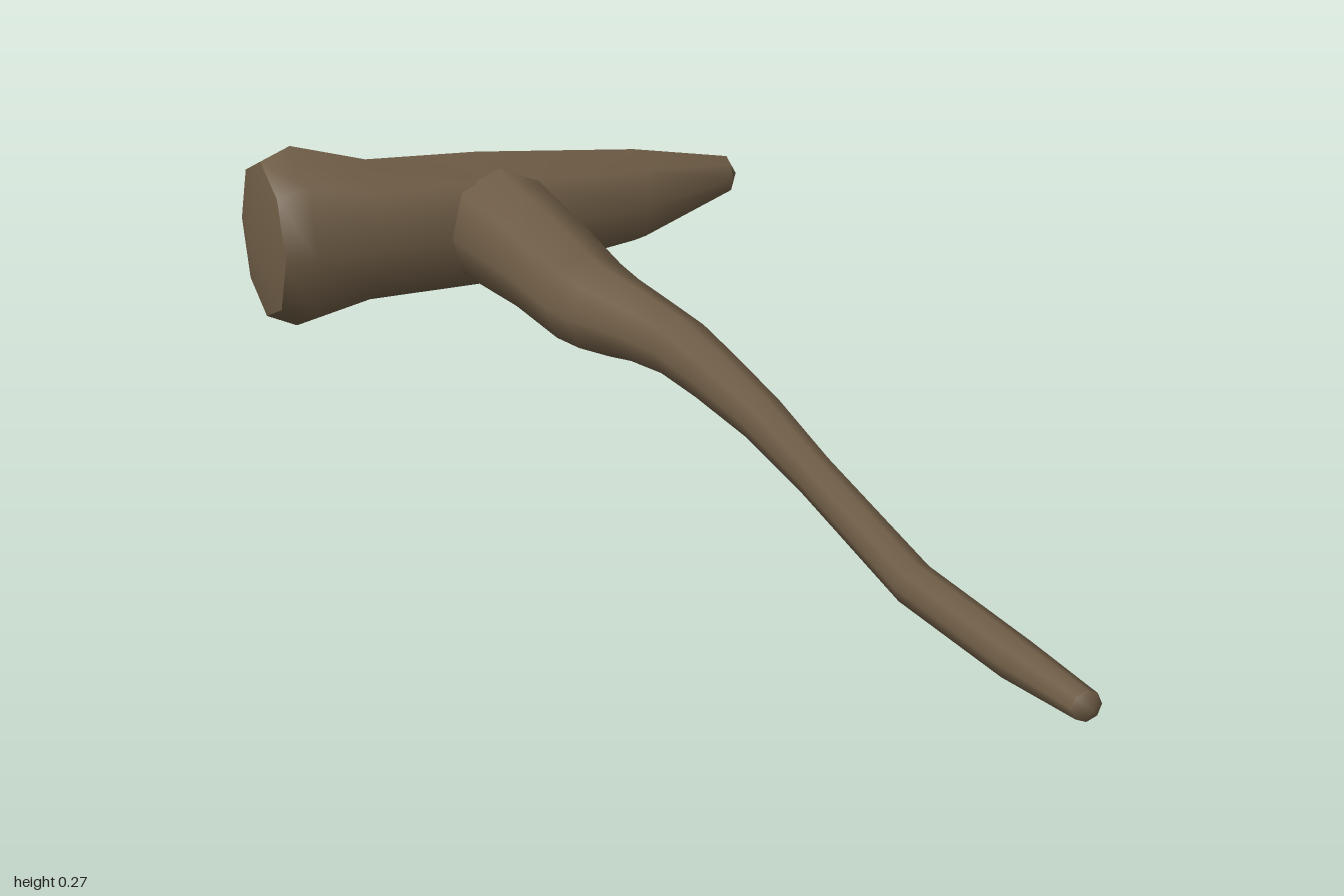
import * as THREE from 'three';

const SIDES = 8;

// Lofts eight-sided rings; sections are [along, across, halfHeight, halfAcross],
// the first and last are the centre points of the end caps.
function loft(sections, height, place) {
  const pos = [], index = [];
  const add = (s, k) => {
    const a = (k / SIDES) * Math.PI * 2;
    pos.push(...place(s[0], s[1], height, s[2], s[3], a));
    return pos.length / 3 - 1;
  };
  const rings = sections.slice(1, -1);
  const ids = rings.map((s) => Array.from({ length: SIDES }, (_, k) => add(s, k)));
  for (let i = 0; i < rings.length - 1; i++) {
    for (let k = 0; k < SIDES; k++) {
      const n = (k + 1) % SIDES;
      const a = ids[i][k], b = ids[i][n], c = ids[i + 1][n], d = ids[i + 1][k];
      index.push(a, b, c, a, c, d);
    }
  }
  // Caps have their own vertices so the rims stay crisp
  const cap = (tip, ring, start) => {
    const centre = add(tip, 0);
    const rim = Array.from({ length: SIDES }, (_, k) => add(ring, k));
    for (let k = 0; k < SIDES; k++) {
      const n = (k + 1) % SIDES;
      index.push(centre, ...(start ? [rim[n], rim[k]] : [rim[k], rim[n]]));
    }
  };
  cap(sections[0], rings[0], true);
  cap(sections[sections.length - 1], rings[rings.length - 1], false);

  const geo = new THREE.BufferGeometry();
  geo.setAttribute('position', new THREE.Float32BufferAttribute(pos, 3));
  geo.setIndex(index);
  geo.computeVertexNormals();
  return geo;
}

export function createModel() {
  const group = new THREE.Group();
  const wood = new THREE.MeshStandardMaterial({ color: 0x6f5d46 });
  wood.name = 'brown wood';

  // Head: blunt flared face at -x, tapering to a peen at +x
  const head = new THREE.Mesh(loft([
    [-0.384, -0.88, 0, 0],
    [-0.363, -0.878, 0.115, 0.112],
    [-0.32, -0.875, 0.134, 0.125],
    [-0.213, -0.864, 0.105, 0.099],
    [-0.05, -0.856, 0.1, 0.092],
    [0.2, -0.875, 0.07, 0.066],
    [0.366, -0.92, 0.028, 0.026],
    [0.381, -0.92, 0, 0],
  ], 0.136, (x, z, y, ry, rz, a) => [x, y + ry * Math.cos(a), z + rz * Math.sin(a)]), wood);
  head.name = 'head';
  group.add(head);

  // Handle: crooked branch, thick at the head and thin at the grip end
  const path = [
    [-0.82, -0.035, 0], [-0.8, -0.035, 0.086], [-0.77, -0.035, 0.084],
    [-0.6, -0.03, 0.073], [-0.44, -0.034, 0.066], [-0.38, -0.028, 0.061],
    [-0.3, -0.005, 0.049], [-0.21, 0.01, 0.042], [-0.1, 0.01, 0.037],
    [0.07, 0.005, 0.031], [0.27, -0.013, 0.026], [0.62, -0.045, 0.026],
    [0.85, -0.032, 0.025], [0.985, -0.018, 0.018], [1, -0.018, 0],
  ];
  const handle = new THREE.Mesh(loft(path.map(([z, x, r]) => [z, x, r, r]), 0.138,
    (z, x, y, ry, rx, a) => [x + rx * Math.cos(a), y + ry * Math.sin(a), z]), wood);
  handle.name = 'handle';
  group.add(handle);

  return group;
}
